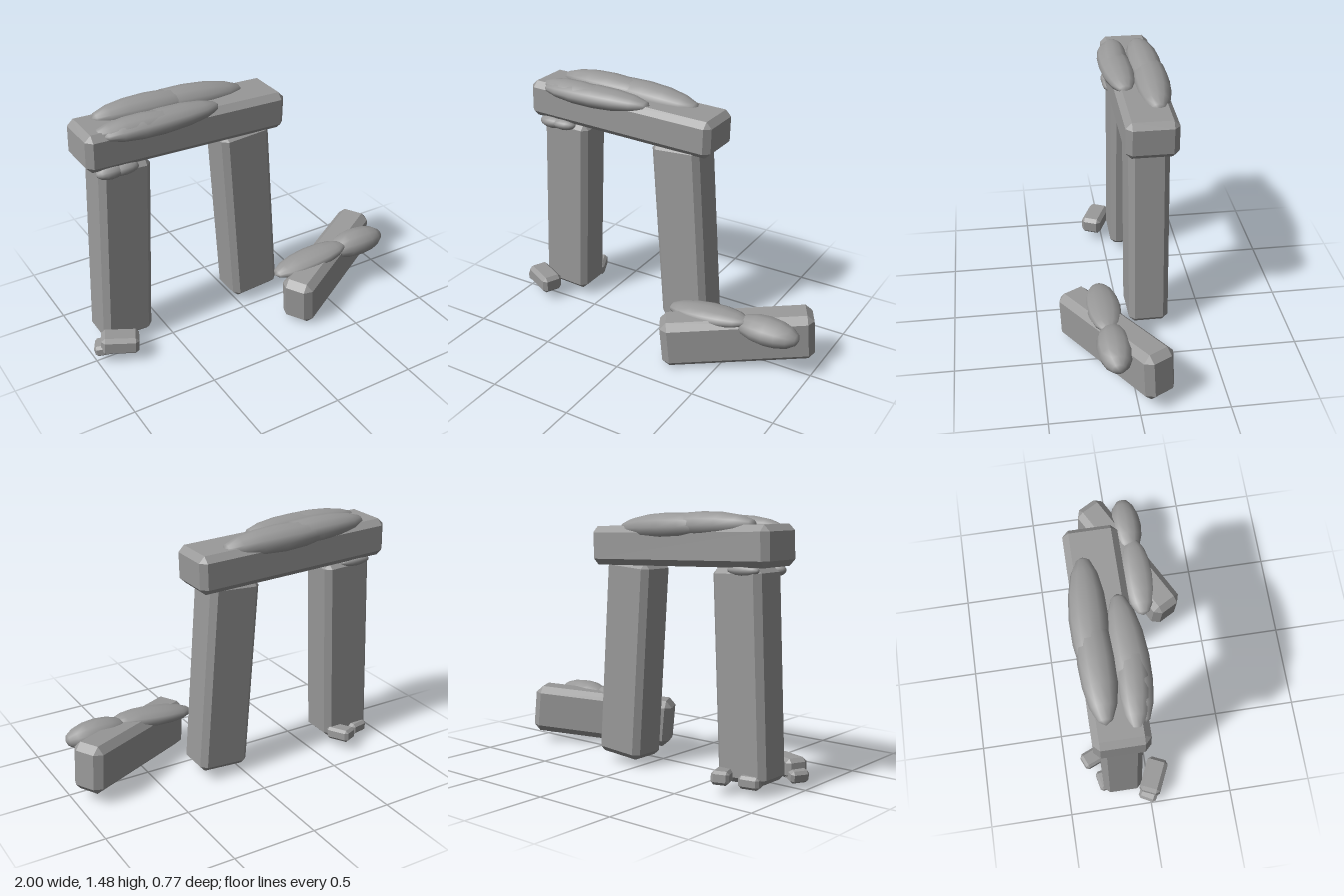
import * as THREE from 'three';
import { ConvexGeometry } from 'three/addons/geometries/ConvexGeometry.js';

const stone = new THREE.MeshStandardMaterial({ color: 0x999999 });
stone.name = 'stone grey';

// Box with all edges and corners cut off at 45 degrees
function chamferedBox(w, h, d, c) {
  const points = [];
  for (const x of [-1, 1]) for (const y of [-1, 1]) for (const z of [-1, 1]) {
    for (let axis = 0; axis < 3; axis++) {
      const cut = [0, 1, 2].map((i) => (i === axis ? 0 : c));
      points.push(new THREE.Vector3(
        x * (w / 2 - cut[0]), y * (h / 2 - cut[1]), z * (d / 2 - cut[2])));
    }
  }
  return new ConvexGeometry(points);
}

// Coarse smooth ellipsoid whose pointed poles lie along x
function mossGeometry(rx, ry, rz) {
  const g = new THREE.SphereGeometry(1, 12, 8);
  g.rotateZ(Math.PI / 2);
  g.scale(rx, ry, rz);
  return g;
}

export function createModel() {
  const model = new THREE.Group();
  model.name = 'ruinedStoneArch';

  const add = (name, geometry, position, rotation = [0, 0, 0]) => {
    const mesh = new THREE.Mesh(geometry, stone);
    mesh.name = name;
    mesh.position.set(...position);
    mesh.rotation.set(...rotation);
    model.add(mesh);
  };
  const block = (name, size, chamfer, position, rotation) =>
    add(name, chamferedBox(...size, chamfer), position, rotation);
  const moss = (name, radii, position, rotation) =>
    add(name, mossGeometry(...radii), position, rotation);

  // Leaning pillars and the lintel across them
  block('rightPillar', [0.31, 1.15, 0.235], 0.033, [-0.735, 0.625, -0.16], [0, 0, -0.045]);
  block('leftPillar', [0.31, 1.15, 0.235], 0.033, [0.088, 0.625, -0.16], [0, 0, 0.068]);
  block('lintel', [1.23, 0.22, 0.3], 0.035, [-0.323, 1.297, -0.165], [0, 0, -0.03]);

  // Fallen block lying beside the arch
  block('fallenBlock', [0.885, 0.29, 0.2], 0.04, [0.565, 0.178, 0.085], [0, 0.51, 0.083]);

  // Moss on the lintel
  moss('lintelMossBack', [0.34, 0.075, 0.1], [-0.48, 1.41, -0.232], [0, 0, -0.03]);
  moss('lintelMossBack', [0.36, 0.08, 0.105], [-0.24, 1.395, -0.238], [0, -0.04, -0.04]);
  moss('lintelMossFront', [0.28, 0.06, 0.085], [-0.59, 1.405, -0.06], [0, -0.08, 0]);
  moss('lintelMossFront', [0.36, 0.064, 0.1], [-0.48, 1.397, -0.06], [0, 0.04, 0]);

  // Moss on the fallen block
  moss('fallenBlockMoss', [0.26, 0.052, 0.1], [0.4, 0.295, 0.13], [0, 0, 0.1]);
  moss('fallenBlockMoss', [0.195, 0.082, 0.1], [0.765, 0.287, 0.11]);

  // Moss tufts under the lintel at the pillar top
  moss('pillarMoss', [0.085, 0.04, 0.05], [-0.8, 1.18, -0.055]);
  moss('pillarMoss', [0.085, 0.036, 0.05], [-0.72, 1.18, -0.055]);
  moss('pillarMoss', [0.1, 0.03, 0.035], [-0.76, 1.185, -0.26]);

  // Rubble around the pillar foot
  block('rubble', [0.22, 0.11, 0.13], 0.022, [-0.86, 0.11, 0.035], [0, -0.43, -0.05]);
  block('rubble', [0.13, 0.07, 0.11], 0.016, [-0.935, 0.085, 0.0], [0, -0.5, 0.2]);
  block('rubble', [0.1, 0.075, 0.15], 0.016, [-0.68, 0.09, -0.315], [0.08, 0.4, 0]);
  block('rubble', [0.12, 0.07, 0.08], 0.016, [-0.83, 0.075, -0.27], [0, 0.2, 0]);

  return model;
}
